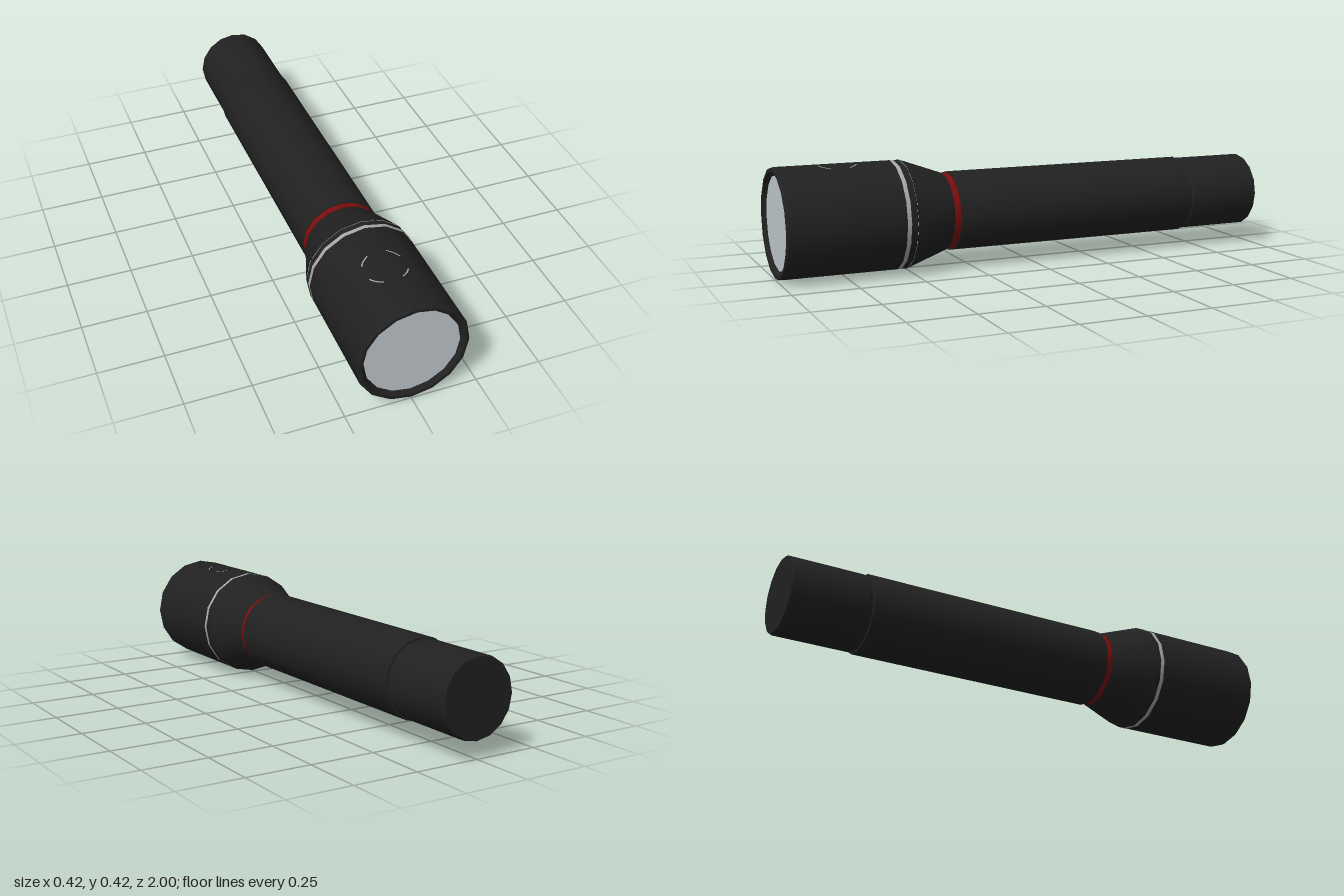
import * as THREE from 'three';
import { toCreasedNormals } from 'three/addons/utils/BufferGeometryUtils.js';

const SIDES = 16;
const AXIS_Y = 0.211;
const HEAD_R = 0.21;

function flat(name, color) {
  const m = new THREE.MeshStandardMaterial({ color });
  m.name = name;
  return m;
}

export function createModel() {
  const black = flat('black casing', 0x212121);
  const red = flat('red band', 0x7d0c0c);
  const silver = flat('silver trim', 0xa8a8a8);
  const glass = flat('lens glass', 0xc0c8cc);

  const model = new THREE.Group();
  model.name = 'flashlight';

  // Turned part along z from [radius, z] points, listed back to front
  function turned(name, material, profile) {
    const points = profile.map(([r, z]) => new THREE.Vector2(r, z));
    const geometry = new THREE.LatheGeometry(points, SIDES).rotateX(Math.PI / 2);
    const mesh = new THREE.Mesh(toCreasedNormals(geometry, 0.42), material);
    mesh.name = name;
    mesh.position.y = AXIS_Y;
    model.add(mesh);
    return mesh;
  }

  // Tail cap and the groove in front of it
  turned('tailCap', black, [[0, -1], [0.145, -1], [0.149, -0.995], [0.149, -0.7], [0.144, -0.695]]);
  turned('tailGroove', black, [[0.144, -0.7], [0.144, -0.68]]);

  // Grip tube
  turned('gripTube', black, [[0.143, -0.686], [0.154, -0.684], [0.154, 0.32], [0.143, 0.322]]);

  // Red band at the neck
  turned('neckBand', red, [[0.149, 0.318], [0.149, 0.346]]);

  // Flared neck and head
  turned('neckCone', black, [[0.149, 0.345], [0.209, 0.512]]);
  turned('head', black, [[0.207, 0.512], [HEAD_R, 0.516], [HEAD_R, 0.992], [0.205, 1]]);
  turned('headRim', black, [[0.205, 1], [0.193, 1], [0.179, 0.982]]);

  // Silver ring, nearly flush with the head
  turned('headRing', silver, [[HEAD_R + 0.0008, 0.538], [HEAD_R + 0.0008, 0.554]]);

  // Lens
  turned('lens', glass, [[0.179, 0.985], [0, 0.985]]);

  // Four thin arcs marking the switch, laid on the top facets of the head
  const slope = Math.tan(Math.PI / SIDES);
  for (let i = 0; i < 4; i++) {
    const start = Math.PI / 4 + i * Math.PI / 2 - 0.33;
    const arc = new THREE.RingGeometry(0.077, 0.082, 8, 1, start, 0.66).rotateX(-Math.PI / 2);
    const pos = arc.attributes.position;
    for (let v = 0; v < pos.count; v++) {
      const x = pos.getX(v) - 0.013;
      pos.setXYZ(v, x, HEAD_R - Math.abs(x) * slope + 0.001, pos.getZ(v) + 0.76);
    }
    arc.computeVertexNormals();
    const mesh = new THREE.Mesh(arc, silver);
    mesh.name = 'switchMark';
    mesh.position.y = AXIS_Y;
    model.add(mesh);
  }

  return model;
}
